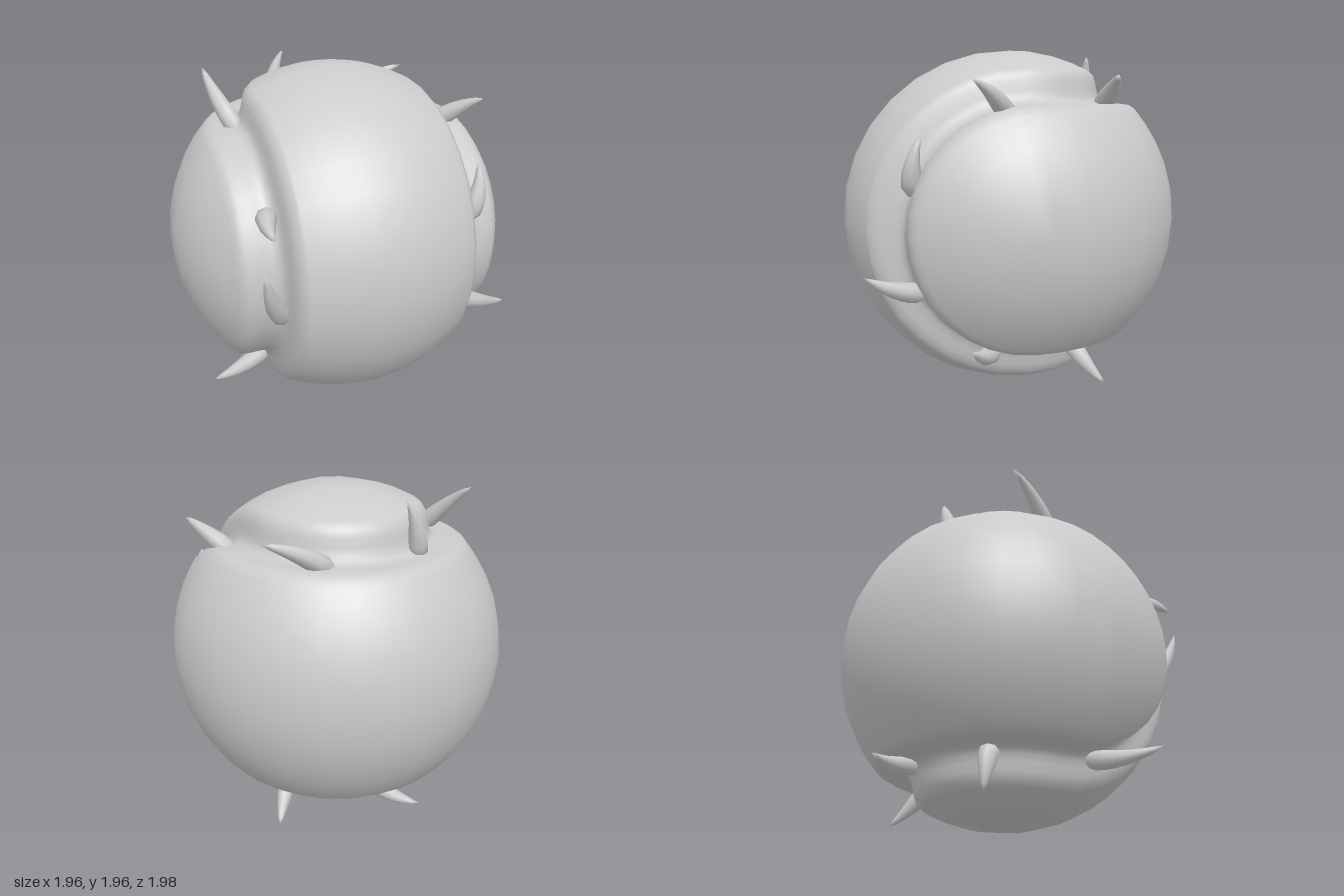
import * as THREE from 'three';
import { mergeVertices } from 'three/addons/utils/BufferGeometryUtils.js';

const material = new THREE.MeshStandardMaterial({ color: 0xcccccc });
const CENTRE = new THREE.Vector3(0, 0.98, 0);
const RADIUS = 0.98;
const SEAM = 39;        // angle of the groove from the front band's middle line
const HALF_WIDTH = 10;  // half the groove's width in degrees
const DEPTH = 0.105;

// Radius of the ball at an angle from the front band's middle line
function ballRadius(deg) {
  const u = Math.min(1, Math.abs(deg - SEAM) / HALF_WIDTH);
  return RADIUS - DEPTH * Math.cos(u * Math.PI / 2) ** 2;
}

// Closed loop parallel to the seam: four half circles, two in front and two behind
function seamLoop(deg, steps) {
  const d = THREE.MathUtils.degToRad(deg);
  const s = Math.sin(d), c = Math.cos(d), r = ballRadius(deg);
  const loop = [];
  for (let quarter = 0; quarter < 4; quarter++) {
    const side = quarter < 2 ? 1 : -1;
    for (let k = 0; k < steps; k++) {
      const a = Math.PI * k / steps;
      const p = quarter % 2 === 0
        ? [side * s, side * c * Math.cos(a), c * Math.sin(a)]
        : [side * s * Math.cos(a), -side * c, -s * Math.sin(a)];
      loop.push(p[0] * r, p[1] * r + CENTRE.y, p[2] * r * 1.01);
    }
  }
  return loop;
}

function smooth(geometry) {
  geometry.deleteAttribute('normal');
  geometry.deleteAttribute('uv');
  const merged = mergeVertices(geometry, 1e-4);
  merged.computeVertexNormals();
  return merged;
}

// Ball: loops that spread from the front band across the groove to the rear band
function ballGeometry() {
  const rows = [0, 8, 16, 23, 28];
  for (let d = 29; d <= 49; d += 2) rows.push(d);
  rows.push(51, 56, 63, 71, 80, 90);
  const steps = 16, n = steps * 4;
  const positions = rows.flatMap((d) => seamLoop(d, steps));
  const index = [];
  for (let i = 0; i < rows.length - 1; i++) {
    for (let j = 0; j < n; j++) {
      const a = i * n + j, b = i * n + (j + 1) % n;
      index.push(a, b, a + n, b, b + n, a + n);
    }
  }
  const geometry = new THREE.BufferGeometry();
  geometry.setAttribute('position', new THREE.Float32BufferAttribute(positions, 3));
  geometry.setIndex(index);
  return smooth(geometry);
}

// Thorn: tube that leaves the groove outward, bends to its tip and tapers
function thornGeometry(base, tip) {
  const start = new THREE.Vector3(...base);
  const end = new THREE.Vector3(...tip);
  const outward = start.clone().sub(CENTRE).normalize();
  const bend = start.clone().lerp(end, 0.45).addScaledVector(outward, 0.05);
  start.addScaledVector(outward, -0.03);
  const curve = new THREE.QuadraticBezierCurve3(start, bend, end);
  const radii = [0.035, 0.055, 0.054, 0.05, 0.043, 0.035, 0.026, 0.016, 0];
  const rings = radii.length - 1, sides = 8;
  const geometry = new THREE.TubeGeometry(curve, rings, 1, sides, false);
  const pos = geometry.attributes.position;
  const v = new THREE.Vector3();
  for (let i = 0; i <= rings; i++) {
    const middle = curve.getPointAt(i / rings);
    for (let j = 0; j <= sides; j++) {
      const k = i * (sides + 1) + j;
      v.fromBufferAttribute(pos, k).sub(middle).multiplyScalar(radii[i]).add(middle);
      pos.setXYZ(k, v.x, v.y, v.z);
    }
  }
  return smooth(geometry);
}

// Base and tip of every thorn
const THORNS = [
  // left groove, top to bottom
  [[0.61, 1.61, 0.13], [0.78, 1.77, 0.35]],
  [[0.58, 1.20, 0.65], [0.62, 1.49, 0.59]],
  [[0.56, 0.64, 0.60], [0.66, 0.78, 0.89]],
  [[0.53, 0.27, 0.20], [0.76, 0.38, 0.35]],
  // right groove, top to bottom
  [[-0.57, 1.64, -0.04], [-0.66, 1.92, -0.37]],
  [[-0.59, 1.37, 0.55], [-0.62, 1.36, 0.84]],
  [[-0.55, 0.79, 0.66], [-0.67, 1.17, 0.81]],
  [[-0.53, 0.28, 0.20], [-0.88, 0.32, 0.40]],
  // rear groove, above
  [[0.30, 1.64, -0.49], [0.66, 1.80, -0.45]],
  [[-0.23, 1.64, -0.52], [-0.12, 1.94, -0.53]],
  // rear groove, below
  [[0.47, 0.28, -0.26], [0.61, 0.08, -0.43]],
  [[0.09, 0.29, -0.53], [-0.07, 0.28, -0.85]],
  [[-0.41, 0.29, -0.36], [-0.44, 0.06, -0.41]],
];

export function createModel() {
  const model = new THREE.Group();
  model.name = 'thornyBall';

  const ball = new THREE.Mesh(ballGeometry(), material);
  ball.name = 'groovedBall';
  model.add(ball);

  const thorns = new THREE.Group();
  thorns.name = 'thorns';
  THORNS.forEach(([base, tip], i) => {
    const thorn = new THREE.Mesh(thornGeometry(base, tip), material);
    thorn.name = `thorn${i + 1}`;
    thorns.add(thorn);
  });
  model.add(thorns);
  return model;
}
